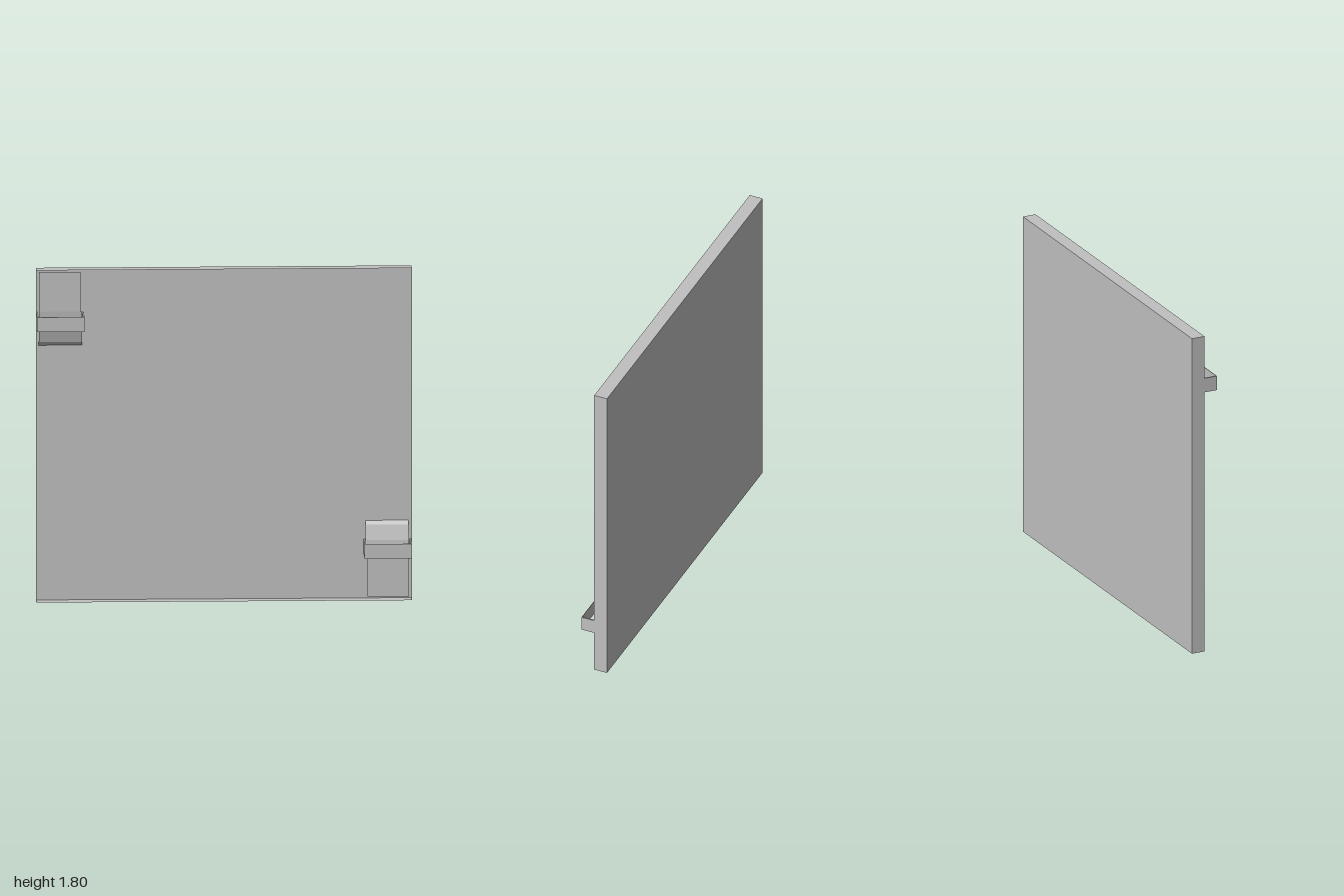
import * as THREE from 'three';

const W = 2, H = 1.8, D = 0.075;

// Sheet swept along x through a list of [y, z] points
function sheet(x0, x1, pts) {
  const pos = [], idx = [];
  pts.forEach(([y, z], i) => {
    pos.push(x0, y, z, x1, y, z);
    if (i) {
      const a = 2 * i - 2;
      idx.push(a, a + 2, a + 1, a + 1, a + 2, a + 3);
    }
  });
  const g = new THREE.BufferGeometry();
  g.setAttribute('position', new THREE.Float32BufferAttribute(pos, 3));
  g.setIndex(idx);
  g.computeVertexNormals();
  return g;
}

export function createModel() {
  const model = new THREE.Group();
  model.name = 'panel';
  const grey = new THREE.MeshStandardMaterial({ color: 0xc0c0c0, side: THREE.DoubleSide, flatShading: true });
  grey.name = 'grey metal';

  const add = (parent, name, geometry, x = 0, y = 0, z = 0) => {
    const mesh = new THREE.Mesh(geometry, grey);
    mesh.name = name;
    mesh.position.set(x, y, z);
    parent.add(mesh);
  };

  // Shallow sheet tray: a box without its front face (face order +x -x +y -y +z -z)
  const tray = new THREE.BoxGeometry(W, H, D);
  const index = Array.from(tray.index.array);
  index.splice(24, 6);
  tray.setIndex(index);
  tray.clearGroups();
  add(model, 'tray', tray, 0, H / 2, -D / 2);

  // Corner clips, the second turned half a turn about the panel centre
  for (const [name, turn] of [['upperClip', 0], ['lowerClip', Math.PI]]) {
    const clip = new THREE.Group();
    clip.name = name;
    clip.position.y = H / 2;
    clip.rotation.z = turn;

    // Flat tongue that bends back to the tray floor
    add(clip, 'tongue', sheet(-0.985, -0.765, [[0.885, -0.03], [0.67, -0.03]]));
    add(clip, 'bentTongue', sheet(-0.985, -0.755, [[0.67, -0.03], [0.58, -0.038], [0.5, -0.06], [0.48, -0.0745]]));

    // U-shaped strap standing out from the tray floor
    const sy = 0.62, sh = 0.08;
    add(clip, 'strapFront', new THREE.BoxGeometry(0.253, sh, 0.003), -0.8725, sy, D - 0.0015);
    for (const x of [-0.995, -0.75]) {
      add(clip, 'strapSide', new THREE.BoxGeometry(0.008, sh, 0.146), x, sy, -0.001);
    }
    model.add(clip);
  }
  return model;
}
